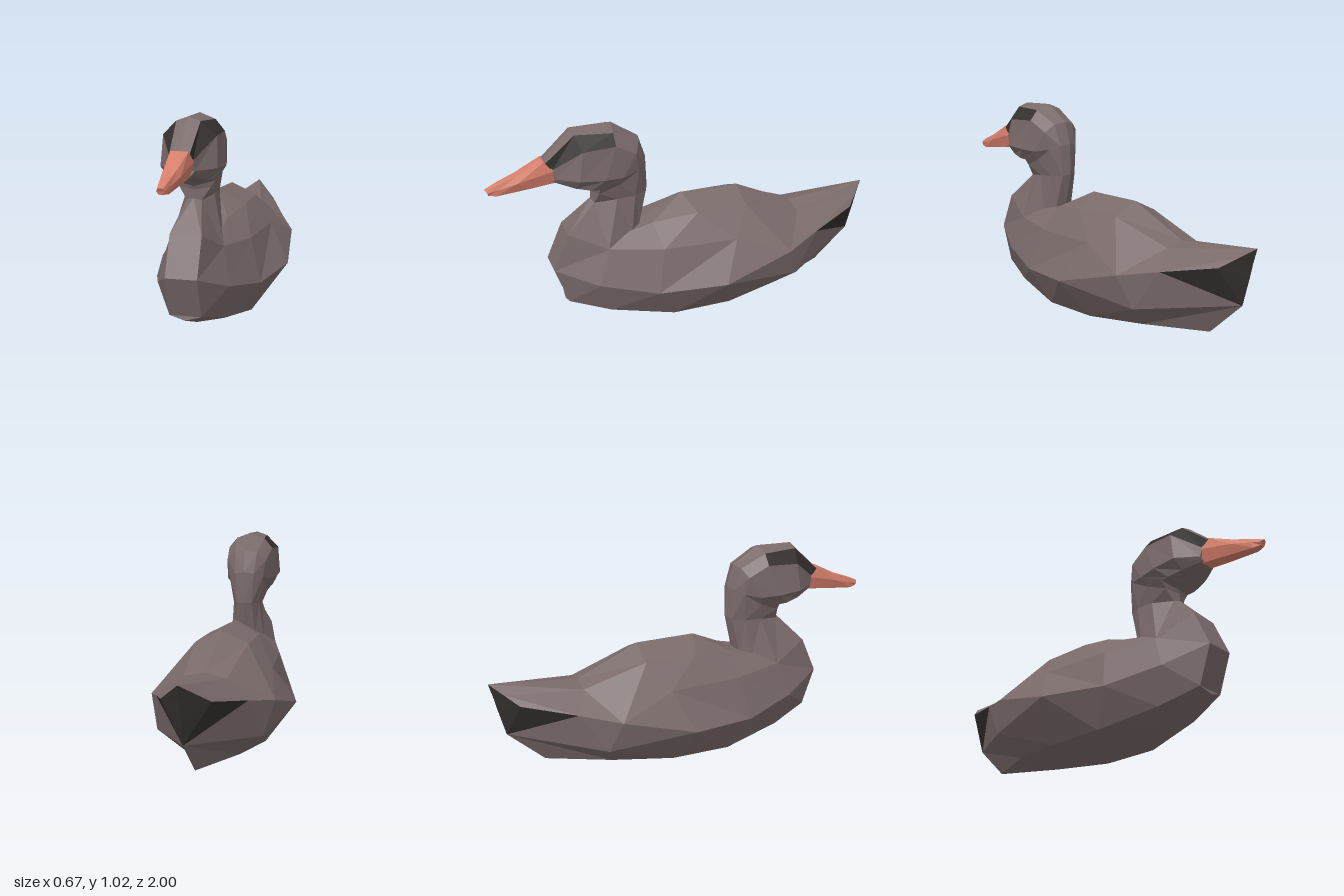
import * as THREE from 'three';

const plumage = new THREE.MeshStandardMaterial({ color: 0x7a6a6a, flatShading: true });
plumage.name = 'plumage';
const dark = new THREE.MeshStandardMaterial({ color: 0x34302e, flatShading: true });
dark.name = 'darkFeather';
const orange = new THREE.MeshStandardMaterial({ color: 0xd67f6b, flatShading: true });
orange.name = 'beakOrange';

// Flat-shaded mesh from a list of triangle corners
function facetMesh(name, corners, material) {
  const geometry = new THREE.BufferGeometry().setFromPoints(corners);
  geometry.computeVertexNormals();
  const mesh = new THREE.Mesh(geometry, material);
  mesh.name = name;
  return mesh;
}

// Skin between lengthwise rows of [x, y, z] on the left half, mirrored to the right.
// Rows run upwards, points run front to back, and both ends close onto the centre plane.
// accent(i, j) picks the faces of the dark accent mesh.
function loft(name, rows, material, accentName = '', accent = () => false) {
  const closed = rows.map(r => {
    const pts = r.map(p => new THREE.Vector3(...p));
    const centre = p => new THREE.Vector3(0, p.y, p.z);
    return [centre(pts[0]), ...pts, centre(pts[pts.length - 1])];
  });
  const main = [], accented = [];
  const flip = p => new THREE.Vector3(-p.x, p.y, p.z);
  const add = (out, a, b, c) => {
    if (new THREE.Triangle(a, b, c).getArea() < 1e-6) return;
    if (Math.max(a.x, b.x, c.x) < 1e-6) return;
    out.push(a, b, c, flip(a), flip(c), flip(b));
  };
  for (let i = 0; i < closed.length - 1; i++) {
    for (let j = 0; j < closed[i].length - 1; j++) {
      const out = accent(i, j) ? accented : main;
      const a = closed[i][j], b = closed[i][j + 1];
      const c = closed[i + 1][j + 1], d = closed[i + 1][j];
      add(out, a, b, c);
      add(out, a, c, d);
    }
  }
  const group = new THREE.Group();
  group.name = name;
  group.add(facetMesh(name + 'Skin', main, material));
  if (accented.length) group.add(facetMesh(accentName, accented, dark));
  return group;
}

export function createModel() {
  const model = new THREE.Group();
  model.name = 'duck';

  // Body, chest to tail: keel, bilge, flank, wing edge, back, spine
  const body = [
    [[0, .125, .66], [0, .055, .46], [0, .01, .15], [0, 0, -.2], [0, .025, -.5], [0, .065, -.75], [0, .23, -.93], [0, .23, -.93]],
    [[.073, .145, .655], [.13, .085, .46], [.195, .035, .15], [.195, .035, -.15], [.13, .055, -.45], [0, .065, -.75], [0, .23, -.93], [0, .23, -.93]],
    [[.073, .33, .72], [.17, .255, .52], [.26, .205, .25], [.335, .225, -.08], [.25, .165, -.5], [0, .23, -.93], [0, .23, -.93], [0, .23, -.93]],
    [[.073, .51, .64], [.13, .425, .455], [.2, .41, .2], [.23, .412, -.17], [.295, .32, -.44], [.21, .36, -.63], [.11, .41, -.88], [0, .365, -.965]],
    [[.04, .51, .64], [.09, .47, .4], [.09, .51, .22], [.13, .54, 0], [.13, .54, -.26], [.1, .44, -.57], [.055, .455, -.94], [0, .43, -.98]],
    [[0, .51, .64], [0, .5, .4], [0, .505, .25], [0, .605, .04], [0, .6, -.26], [0, .46, -.57], [0, .5, -1], [0, .5, -1]],
  ];
  model.add(loft('body', body, plumage, 'underTail', (i, j) => (i === 2 && j === 6) || (i >= 2 && j === 7)));

  // Head and neck, from the face over the nape and down into the chest:
  // throat, jaw, cheek, brow, crown edge, crown
  const head = [
    [[0, .775, .69], [0, .735, .59], [0, .712, .54], [0, .705, .51], [0, .69, .505], [0, .65, .507], [0, .51, .64]],
    [[.04, .78, .685], [.085, .75, .59], [.1, .735, .52], [.095, .73, .48], [.075, .7, .48], [.035, .64, .495], [.073, .51, .64]],
    [[.055, .8, .68], [.13, .8, .58], [.135, .79, .46], [.12, .785, .37], [.092, .74, .38], [.068, .655, .39], [.13, .42, .46]],
    [[.05, .845, .69], [.122, .94, .56], [.118, .945, .4], [.105, .89, .3], [.09, .8, .285], [.07, .66, .3], [.09, .46, .33]],
    [[.045, .88, .72], [.055, 1.003, .58], [.075, .997, .4], [.06, .93, .275], [.05, .82, .24], [.04, .665, .237], [.05, .49, .28]],
    [[0, .885, .73], [0, 1.022, .58], [0, 1.025, .39], [0, .94, .26], [0, .83, .225], [0, .67, .22], [0, .49, .267]],
  ];
  model.add(loft('headAndNeck', head, plumage, 'eyePatches', (i, j) => i === 3 && (j === 1 || j === 2)));

  // Beak, tip to base: underside, lower edge, side, upper edge, ridge
  const beak = [
    [[0, .747, .985], [0, .742, .95], [0, .757, .8], [0, .773, .67]],
    [[.012, .75, .985], [.022, .745, .95], [.03, .76, .8], [.035, .775, .67]],
    [[.018, .762, .988], [.026, .775, .94], [.042, .8, .85], [.053, .84, .68]],
    [[.012, .774, .995], [.02, .797, .94], [.028, .83, .85], [.04, .888, .725]],
    [[0, .776, 1], [0, .802, .94], [0, .833, .85], [0, .89, .735]],
  ];
  model.add(loft('beak', beak, orange));

  return model;
}
